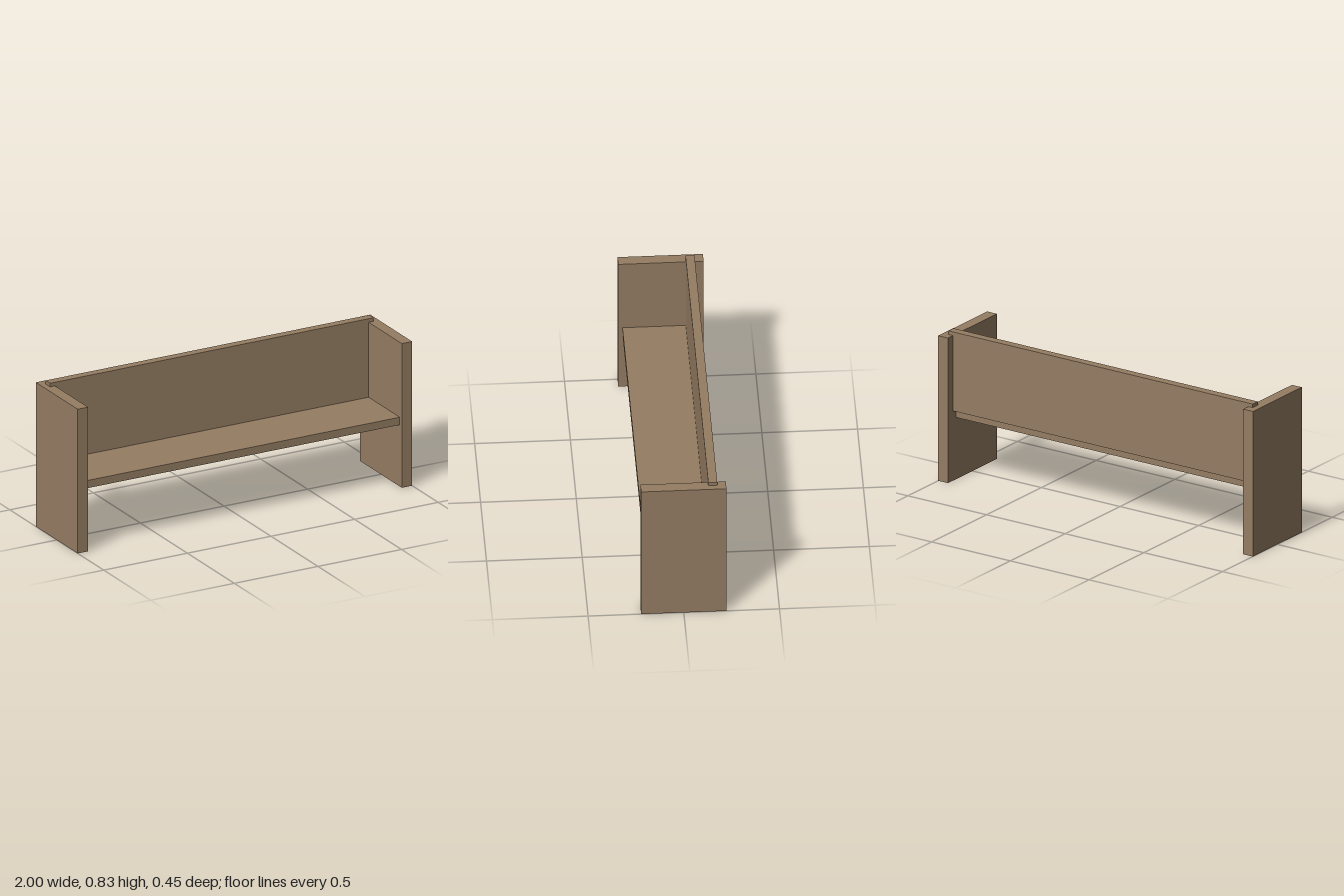
import * as THREE from 'three';

export function createModel() {
  const bench = new THREE.Group();
  bench.name = 'bench';
  const wood = new THREE.MeshStandardMaterial({ color: 0x957d63 });
  wood.name = 'brown wood';

  // A board spanning the given limits on each axis
  function board(name, [x0, x1], [y0, y1], [z0, z1]) {
    const mesh = new THREE.Mesh(new THREE.BoxGeometry(x1 - x0, y1 - y0, z1 - z0), wood);
    mesh.position.set((x0 + x1) / 2, (y0 + y1) / 2, (z0 + z1) / 2);
    mesh.name = name;
    bench.add(mesh);
  }

  // Solid end panels
  board('leftEndPanel', [0.938, 1], [0, 0.806], [-0.223, 0.223]);
  board('rightEndPanel', [-1, -0.938], [0, 0.806], [-0.223, 0.223]);

  // Seat between the ends, reaching halfway under the backrest
  board('seat', [-0.938, 0.938], [0.344, 0.387], [-0.152, 0.201]);

  // Backrest, housed in the ends and standing slightly above them
  board('backrest', [-0.967, 0.967], [0.387, 0.826], [-0.177, -0.13]);

  return bench;
}
